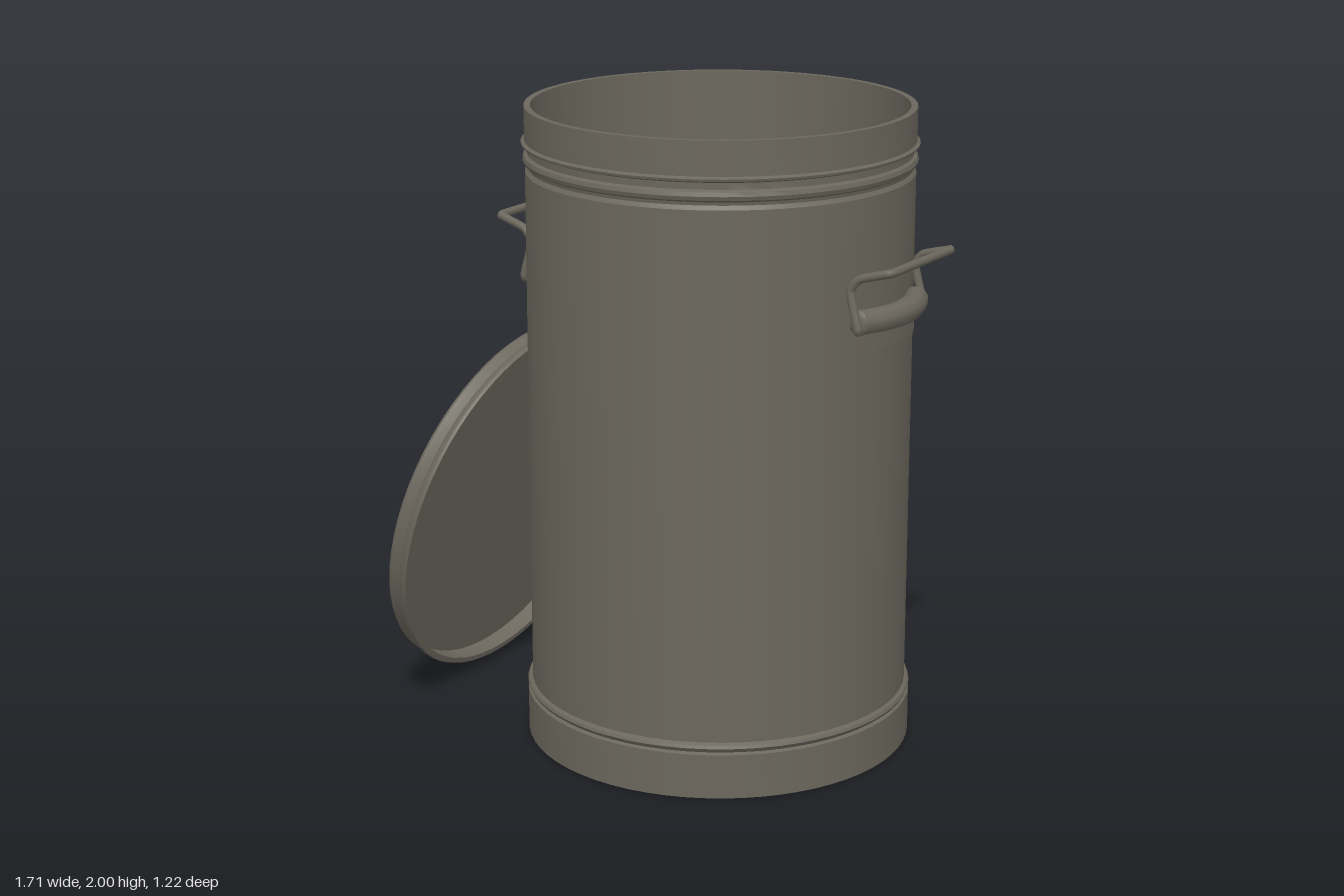
import * as THREE from 'three';
import { toCreasedNormals } from 'three/addons/utils/BufferGeometryUtils.js';

const steel = new THREE.MeshStandardMaterial({ color: 0x6b675d });
steel.name = 'weathered steel';

function part(name, geometry, parent) {
  const mesh = new THREE.Mesh(geometry, steel);
  mesh.name = name;
  parent.add(mesh);
  return mesh;
}

function lathe(points) {
  const profile = points.map(([r, y]) => new THREE.Vector2(r, y));
  return toCreasedNormals(new THREE.LatheGeometry(profile, 64), 0.6);
}

function tube(points, radius, steps, tension = 0.5) {
  const path = new THREE.CatmullRomCurve3(
    points.map((p) => new THREE.Vector3(...p)), false, 'catmullrom', tension);
  return new THREE.TubeGeometry(path, steps, radius, 10);
}

// Carrying handle on the +x side: curved plate, rolled grip and wire bail
function sideHandle(name) {
  const handle = new THREE.Group();
  handle.name = name;

  const sector = new THREE.Shape();
  sector.absarc(0, 0, 0.612, -0.26, 0.26, false);
  sector.absarc(0, 0, 0.58, 0.26, -0.26, true);
  const plate = new THREE.ExtrudeGeometry(sector, { depth: 0.09, bevelEnabled: false, curveSegments: 10 });
  plate.rotateX(-Math.PI / 2);
  part('handlePlate', toCreasedNormals(plate, 0.6), handle).position.y = 1.34;

  const grip = [[0.59, 1.44, 0.17], [0.622, 1.44, 0.09], [0.635, 1.44, 0], [0.622, 1.44, -0.09], [0.59, 1.44, -0.17]];
  part('handleGrip', tube(grip, 0.038, 20), handle);
  for (const end of [grip[0], grip[4]]) {
    const cap = part('gripEnd', new THREE.SphereGeometry(0.038, 12, 8), handle);
    cap.position.set(...end);
    cap.scale.z = 0.4;
  }

  const half = [[0.585, 1.42, 0.165], [0.6, 1.42, 0.195], [0.572, 1.535, 0.193], [0.6, 1.575, 0.19],
    [0.685, 1.6, 0.183], [0.7, 1.604, 0.165]];
  const otherHalf = half.map(([x, y, z]) => [x, y, -z]).reverse();
  part('handleWire', tube([...half, ...otherHalf], 0.013, 90, 0.25), handle);
  return handle;
}

export function createModel() {
  const model = new THREE.Group();
  model.name = 'dustbin';

  // Hollow bin with a base skirt and rolled beads
  const bin = new THREE.Group();
  bin.name = 'bin';
  bin.position.x = 0.14;
  model.add(bin);
  part('binBody', lathe([
    [0, 0], [0.605, 0], [0.605, 0.14], [0.594, 0.145], [0.602, 0.151], [0.606, 0.16], [0.602, 0.169],
    [0.591, 0.175], [0.591, 1.8], [0.582, 1.812], [0.584, 1.822], [0.594, 1.828], [0.598, 1.84],
    [0.594, 1.852], [0.584, 1.858], [0.584, 1.878], [0.6, 1.884], [0.602, 1.891], [0.592, 1.897],
    [0.592, 2], [0.572, 2], [0.572, 0.03], [0, 0.03],
  ]), bin);

  const leftHandle = sideHandle('leftHandle');
  const rightHandle = sideHandle('rightHandle');
  rightHandle.rotation.y = Math.PI;
  bin.add(leftHandle, rightHandle);

  // Domed lid leaning against the side of the bin
  const lid = new THREE.Group();
  lid.name = 'lid';
  lid.position.set(-0.615, 0.615, 0);
  lid.rotation.z = 1.312;
  model.add(lid);
  part('lidCover', lathe([
    [0, 0.055], [0.588, 0.055], [0.588, 0], [0.606, 0], [0.61, 0.008], [0.606, 0.022], [0.597, 0.032],
    [0.599, 0.055], [0.601, 0.066], [0.594, 0.077], [0.575, 0.079], [0.55, 0.077], [0.52, 0.087],
    [0.475, 0.119], [0.435, 0.138], [0.36, 0.148], [0, 0.15],
  ]), lid);

  // Bent wire lid handle with splayed feet
  part('lidHandle', tube([
    [0.13, 0.15, 0], [0.095, 0.158, 0], [0.075, 0.195, 0], [0.055, 0.215, 0], [0, 0.232, 0],
    [-0.04, 0.22, 0], [-0.065, 0.18, 0], [-0.09, 0.158, 0], [-0.13, 0.15, 0],
  ], 0.013, 48), lid);

  return model;
}
